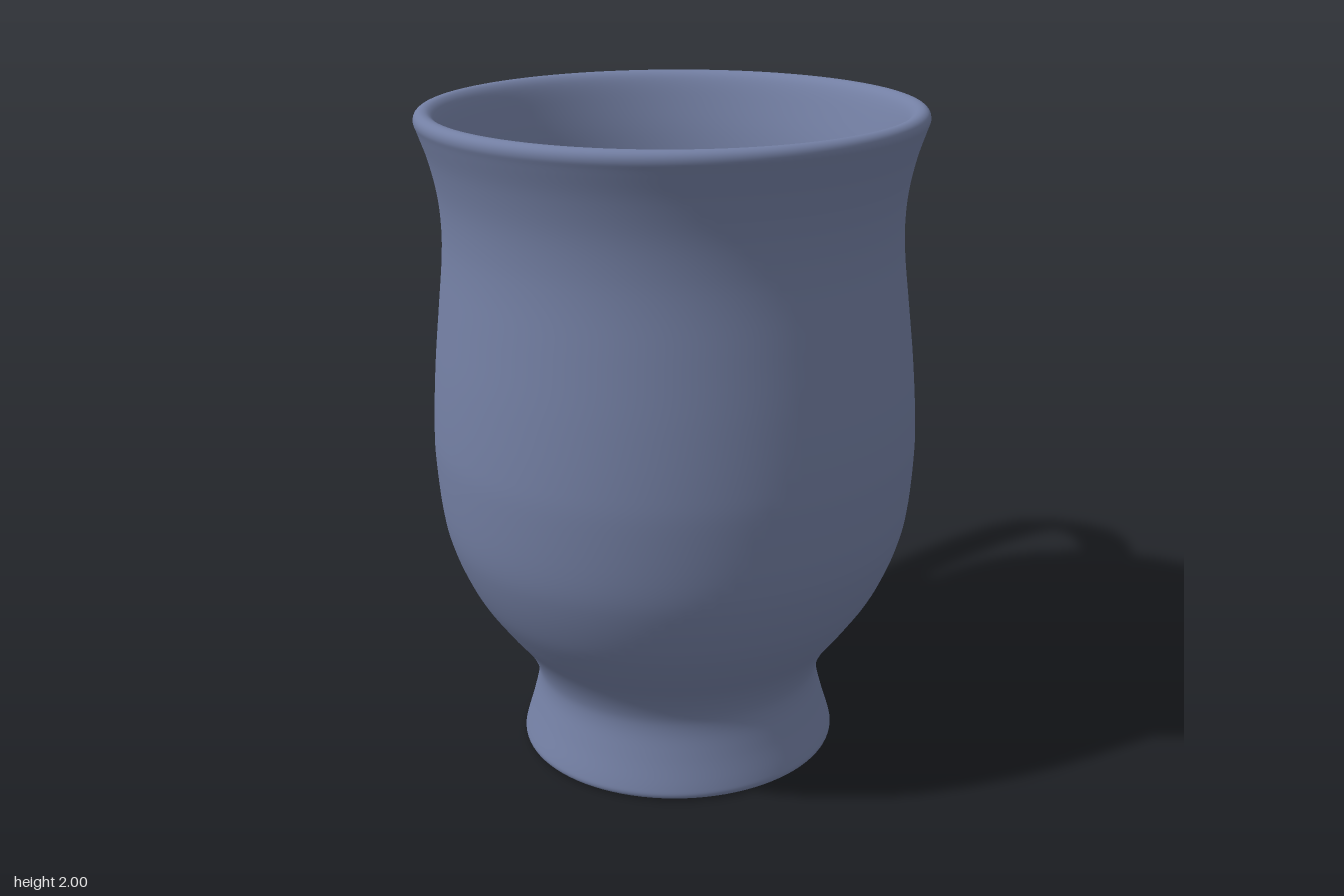
import * as THREE from 'three';

const glaze = new THREE.MeshStandardMaterial({ color: 0x737fa3 });
glaze.name = 'blueGreyGlaze';

const v2 = (p) => new THREE.Vector2(p[0], p[1]);

function lathe(name, points) {
  const mesh = new THREE.Mesh(new THREE.LatheGeometry(points, 96), glaze);
  mesh.name = name;
  return mesh;
}

const smooth = (pts, n) => new THREE.SplineCurve(pts.map(v2)).getPoints(n);

// Strap handle: a rounded section swept along a curve in the local xy plane
function handleGeometry() {
  const path = new THREE.CatmullRomCurve3([
    [0.66, 1.86], [0.74, 1.863], [0.81, 1.86], [0.91, 1.83], [1.05, 1.745],
    [1.17, 1.6], [1.245, 1.45], [1.26, 1.34], [1.235, 1.19], [1.155, 1.0],
    [1.03, 0.79], [0.89, 0.6], [0.75, 0.475], [0.65, 0.425], [0.54, 0.37],
  ].map(([u, y]) => new THREE.Vector3(u, y, 0)));
  const rings = 90, sides = 28, pos = [], idx = [];
  const round = (c) => Math.sign(c) * Math.abs(c) ** 0.75;
  for (let i = 0; i <= rings; i++) {
    const t = i / rings;
    const c = path.getPointAt(t), d = path.getTangentAt(t);
    // The ends flare where they meet the wall
    const top = Math.max(0, 1 - t / 0.075) ** 2, low = Math.max(0, (t - 0.88) / 0.12) ** 2;
    const thick = 0.046 - 0.008 * t + 0.045 * top + 0.015 * low;
    const wide = 0.09 + 0.05 * top + 0.03 * low;
    for (let j = 0; j < sides; j++) {
      const a = (j / sides) * Math.PI * 2;
      const n = thick * round(Math.cos(a));
      pos.push(c.x - d.y * n, c.y + d.x * n, wide * round(Math.sin(a)));
      if (i < rings) {
        const k = (j + 1) % sides, p = i * sides, q = p + sides;
        idx.push(p + j, p + k, q + j, p + k, q + k, q + j);
      }
    }
  }
  const g = new THREE.BufferGeometry();
  g.setAttribute('position', new THREE.Float32BufferAttribute(pos, 3));
  g.setIndex(idx);
  g.computeVertexNormals();
  return g;
}

export function createModel() {
  const mug = new THREE.Group();
  mug.name = 'mug';

  // Outer wall, from the foot up to the rim, then down the inside
  const outer = smooth([
    [0.41, 0.03], [0.425, 0.01], [0.45, 0.0], [0.48, 0.0], [0.491, 0.012], [0.486, 0.04],
    [0.462, 0.12], [0.444, 0.2], [0.45, 0.26], [0.487, 0.335], [0.56, 0.43], [0.63, 0.535],
    [0.685, 0.66], [0.715, 0.78], [0.73, 0.96], [0.729, 1.08], [0.717, 1.25], [0.699, 1.42],
    [0.684, 1.56], [0.68, 1.66], [0.687, 1.76], [0.708, 1.86], [0.734, 1.94], [0.744, 1.97],
    [0.739, 1.99], [0.722, 2.0], [0.7, 1.995], [0.68, 1.97], [0.658, 1.91], [0.63, 1.81],
    [0.612, 1.7], [0.611, 1.62], [0.625, 1.45], [0.645, 1.25], [0.658, 1.05], [0.655, 0.92],
    [0.638, 0.77], [0.598, 0.64], [0.53, 0.51], [0.45, 0.4], [0.395, 0.31], [0.372, 0.22],
  ], 200);
  mug.add(lathe('body', outer));

  // Flat floor inside and recessed underside of the foot
  mug.add(lathe('innerFloor', [v2([0.372, 0.22]), v2([0, 0.22])]));
  mug.add(lathe('underside', [v2([0, 0.03]), v2([0.41, 0.03])]));

  const handle = new THREE.Mesh(handleGeometry(), glaze);
  handle.name = 'handle';
  handle.rotation.y = 1.872;
  mug.add(handle);

  mug.position.z = 0.255;
  const model = new THREE.Group();
  model.name = 'footedMug';
  model.add(mug);
  return model;
}
